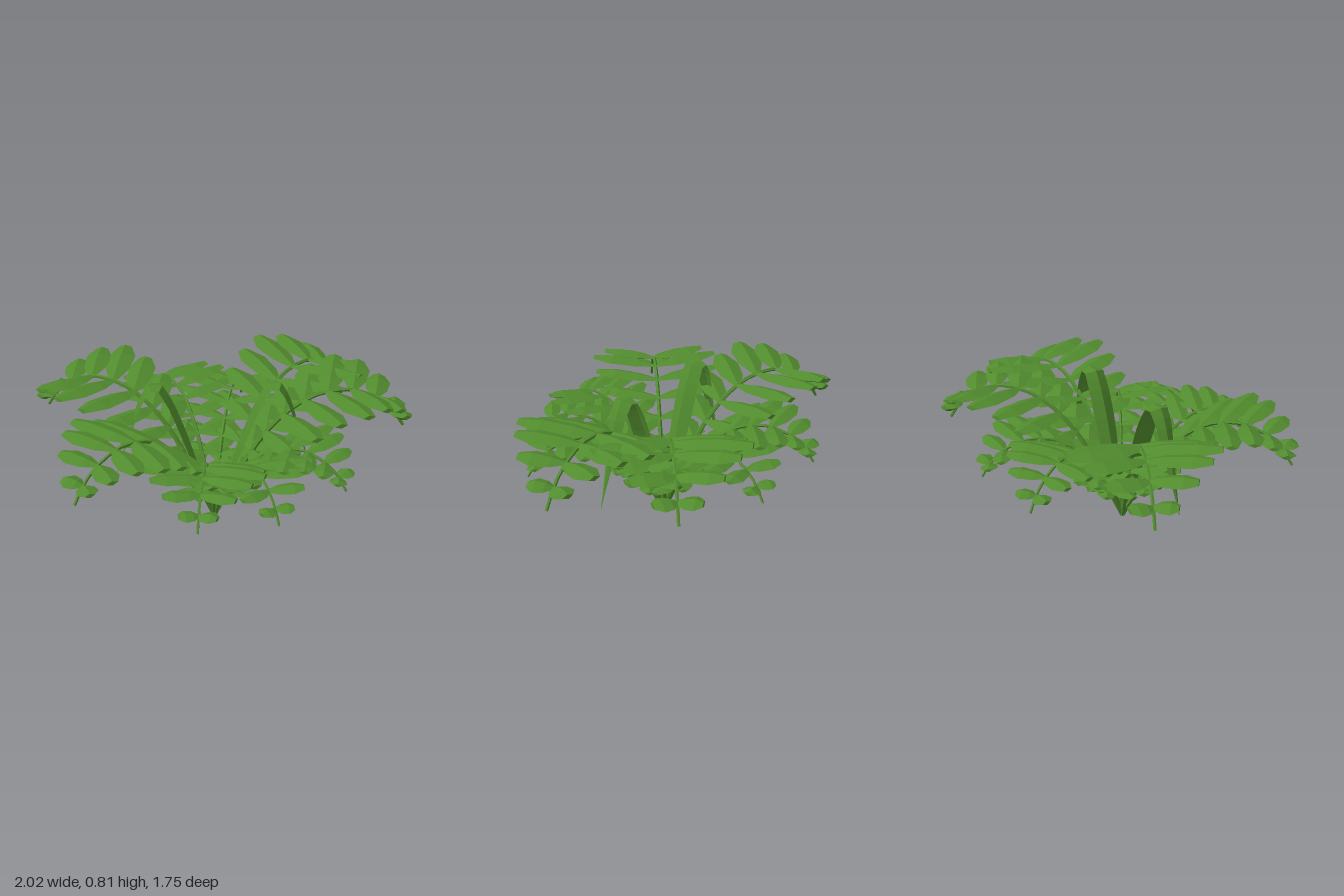
import * as THREE from 'three';

const CENTRE = new THREE.Vector3(-0.05, 0, 0.1);
const green = new THREE.MeshStandardMaterial({ color: 0x528c2e, flatShading: true, side: THREE.DoubleSide });

// Four-sided leaflet of unit length along +y, narrow base and blunt tip
const leafGeometry = new THREE.LatheGeometry(
  [[0.14, 0], [0.42, 0.3], [0.5, 0.7], [0.24, 1], [0, 1]].map(p => new THREE.Vector2(...p)), 4);

// Arching stem in its own plane: x is outward, y is up
const stemCurve = new THREE.CatmullRomCurve3(
  [[0, 0.01], [0.12, 0.25], [0.3, 0.53], [0.5, 0.69], [0.7, 0.73], [0.88, 0.67], [0.97, 0.59], [1.03, 0.5]]
    .map(([x, y]) => new THREE.Vector3(x, y, 0)));

// Leaflet length along the stem, interpolated between keys
const lengthKeys = [[0.2, 0.23], [0.42, 0.37], [0.66, 0.41], [0.8, 0.28], [0.93, 0.12]];
function leafLength(t) {
  let i = 0;
  while (i < lengthKeys.length - 2 && t > lengthKeys[i + 1][0]) i++;
  const [[t0, a], [t1, b]] = [lengthKeys[i], lengthKeys[i + 1]];
  return THREE.MathUtils.mapLinear(t, t0, t1, a, b);
}

// Tube whose rings shrink towards the tip
function taperedTube(curve, segments, sides, radius) {
  const geometry = new THREE.TubeGeometry(curve, segments, radius, sides);
  const pos = geometry.attributes.position;
  const v = new THREE.Vector3();
  for (let i = 0; i < pos.count; i++) {
    const t = Math.floor(i / (sides + 1)) / segments;
    const c = curve.getPointAt(t);
    v.fromBufferAttribute(pos, i).sub(c).multiplyScalar(1 - 0.5 * t).add(c);
    pos.setXYZ(i, v.x, v.y, v.z);
  }
  return geometry;
}
const stemGeometry = taperedTube(stemCurve, 18, 5, 0.017);

// One frond: a stem with mirrored pairs of leaflets
function makeFrond() {
  const frond = new THREE.Group();
  frond.name = 'frond';
  const stem = new THREE.Mesh(stemGeometry, green);
  stem.name = 'stem';
  frond.add(stem);
  const pairs = 9;
  for (let i = 0; i < pairs; i++) {
    const t = 0.2 + 0.725 * i / (pairs - 1);
    const p = stemCurve.getPointAt(t);
    const length = leafLength(t);
    const lean = 0.26 + 0.1 * t * t;
    for (const side of [-1, 1]) {
      const along = new THREE.Vector3(Math.sin(lean), 0.07, side * Math.cos(lean)).normalize();
      const up = new THREE.Vector3(0.12 - 0.25 * (1 - t), 1, 0);
      const across = new THREE.Vector3().crossVectors(along, up).normalize();
      up.crossVectors(across, along);
      const leaf = new THREE.Mesh(leafGeometry, green);
      leaf.name = 'leaflet';
      leaf.quaternion.setFromRotationMatrix(new THREE.Matrix4().makeBasis(across, along, up));
      leaf.scale.set(0.11 + 0.11 * length, length, 0.054);
      leaf.position.copy(p);
      frond.add(leaf);
    }
  }
  return frond;
}

// Bare folded blade that rises, bends sharply and hangs to a point
function makeBlade() {
  const curve = new THREE.CatmullRomCurve3(
    [[0, 0.01], [0.1, 0.3], [0.19, 0.56], [0.26, 0.73], [0.315, 0.805], [0.37, 0.74], [0.45, 0.52], [0.54, 0.26]]
      .map(([x, y]) => new THREE.Vector3(x, y, 0)));
  const positions = [], index = [], n = 28;
  for (let i = 0; i <= n; i++) {
    const t = i / n;
    const p = curve.getPointAt(t), d = curve.getTangentAt(t);
    const half = 0.01 + 0.058 * Math.sin(Math.PI * t ** 0.9) ** 1.3 - 0.008 * t;
    const fold = half * 0.4;
    // left edge, centre crease, right edge
    for (const s of [-1, 0, 1]) {
      const lift = s === 0 ? fold : 0;
      positions.push(p.x - d.y * lift, p.y + d.x * lift, s * half);
    }
    if (i < n) for (const k of [0, 1]) {
      const a = i * 3 + k;
      index.push(a, a + 1, a + 3, a + 1, a + 4, a + 3);
    }
  }
  const geometry = new THREE.BufferGeometry();
  geometry.setAttribute('position', new THREE.Float32BufferAttribute(positions, 3));
  geometry.setIndex(index);
  geometry.computeVertexNormals();
  const blade = new THREE.Mesh(geometry, green);
  blade.name = 'blade';
  return blade;
}

// Turn a part about the crown so it points towards (dx, dz)
function aim(part, dx, dz) {
  part.position.copy(CENTRE);
  part.rotation.y = Math.atan2(-dz, dx);
  return part;
}

export function createModel() {
  const fern = new THREE.Group();
  fern.name = 'fern';
  // Outward reach of each frond tip from the crown
  const tips = [
    [1.03, -0.02], [0.85, 0.6], [0.25, 0.73], [-0.24, 0.73], [-0.6, 0.54],
    [-0.94, 0.02], [-0.43, -0.93], [0.25, -0.8], [0.65, -0.47],
  ];
  for (const [dx, dz] of tips) {
    const frond = aim(makeFrond(), dx, dz);
    frond.scale.setScalar(Math.hypot(dx, dz) / 1.03);
    fern.add(frond);
  }
  for (const s of [-1, 1]) fern.add(aim(makeBlade(), s * 0.41, s * 0.345));
  return fern;
}
